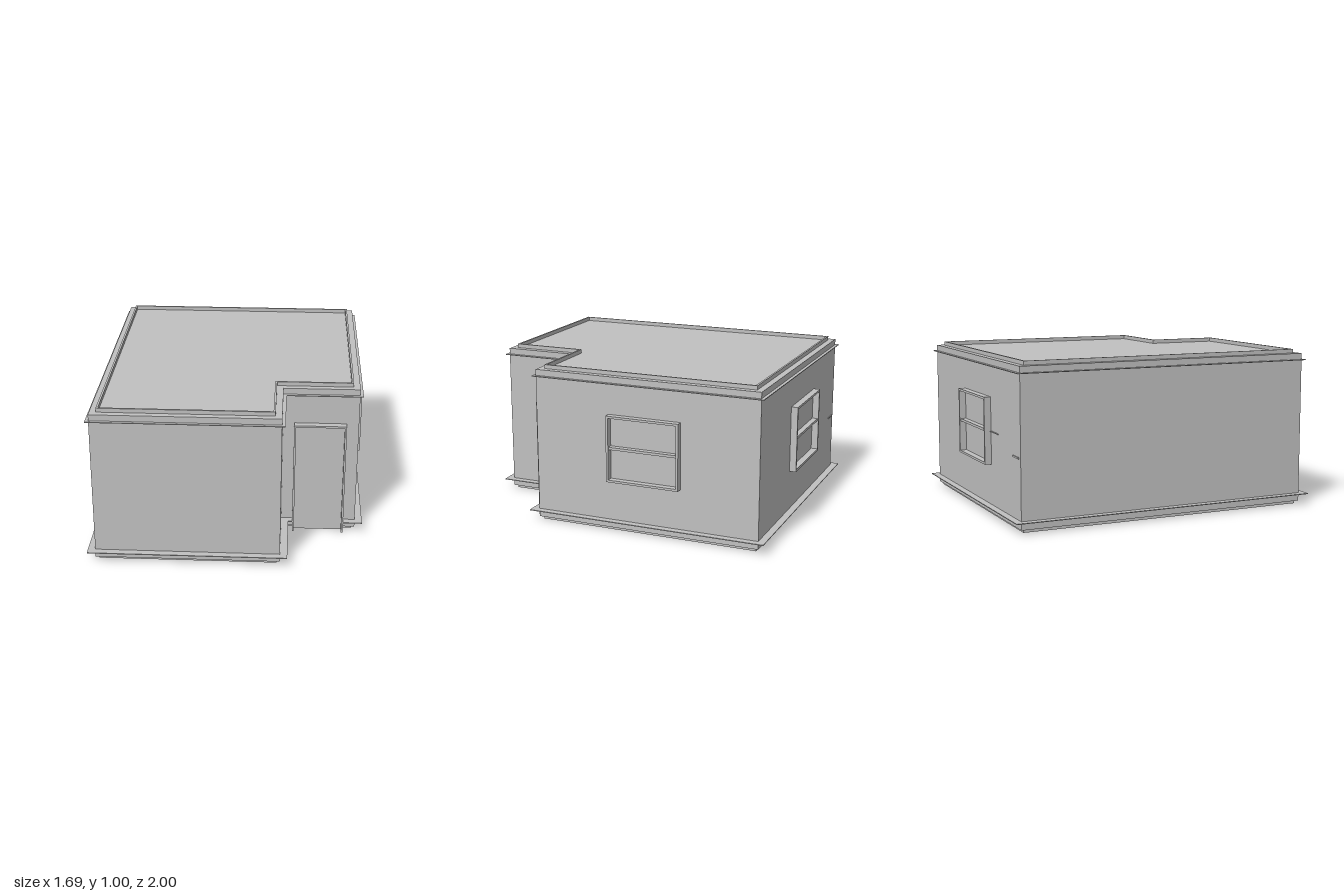
import * as THREE from 'three';

export function createModel() {
  const group = new THREE.Group();
  const grey = new THREE.MeshStandardMaterial({ color: 0xc0c0c0 });
  grey.name = 'plainGrey';

  const add = (name, geometry, parent = group) => {
    const mesh = new THREE.Mesh(geometry, grey);
    mesh.name = name;
    parent.add(mesh);
    return mesh;
  };

  // L-shaped plan grown by d, as [x, z]; optionally notched at the doorway
  const outline = (d, doorGap = false) => {
    const gap = doorGap ? [[0.4, 0.5 + d], [0.4, 0.48], [0.725, 0.48], [0.725, 0.5 + d]] : [];
    return [
      [-0.8 - d, 0.955 + d], [0.33 + d, 0.955 + d], [0.33 + d, 0.5 + d], ...gap,
      [0.8 + d, 0.5 + d], [0.8 + d, -0.955 - d], [-0.8 - d, -0.955 - d],
    ].map(([x, z]) => new THREE.Vector2(x, -z));
  };

  // Horizontal slab of the plan between two heights
  const slab = (name, points, y0, y1, hole) => {
    const shape = new THREE.Shape(points);
    if (hole) shape.holes.push(new THREE.Path(hole));
    const geo = new THREE.ExtrudeGeometry(shape, { depth: y1 - y0, bevelEnabled: false });
    geo.rotateX(-Math.PI / 2);
    geo.translate(0, y0, 0);
    return add(name, geo);
  };

  const box = (name, w, h, d, x, y, z, parent) => {
    const geo = new THREE.BoxGeometry(w, h, d);
    geo.translate(x, y, z);
    return add(name, geo, parent);
  };

  // Building body
  slab('base', outline(-0.02), 0, 0.02);
  slab('walls', outline(0), 0.02, 0.975);
  slab('lowerLedge', outline(0.045, true), 0.067, 0.072);
  slab('upperLedge', outline(0.02), 0.932, 0.937);
  slab('parapet', outline(-0.04), 0.975, 1, outline(-0.052));

  // Projecting frame standing on local z = 0 and facing +z
  const frame = (name, w, y0, y1, depth, bar, sill) => {
    const g = new THREE.Group();
    g.name = name;
    const h = y1 - y0;
    for (const s of [-1, 1]) {
      box('jamb', bar, h, depth, s * (w - bar) / 2, y0 + h / 2, depth / 2, g);
    }
    box('head', w - 2 * bar, bar, depth, 0, y1 - bar / 2, depth / 2, g);
    if (sill) box('sill', w - 2 * bar, bar, depth, 0, y0 + bar / 2, depth / 2, g);
    group.add(g);
    return g;
  };

  // Two-pane windows on the left side and the back
  const windows = [
    ['sideWindow', 0.47, [0.8, 0, -0.225], Math.PI / 2],
    ['backWindow', 0.5, [-0.045, 0, -0.955], Math.PI],
  ];
  for (const [name, w, position, turn] of windows) {
    const win = frame(name, w, 0.325, 0.742, 0.042, 0.014, true);
    box('middleRail', w - 0.028, 0.016, 0.035, 0, 0.538, 0.0175, win);
    win.position.set(...position);
    win.rotation.y = turn;
  }

  // Door in the recessed front corner
  const door = frame('door', 0.325, 0, 0.745, 0.045, 0.012, false);
  box('doorPanel', 0.301, 0.735, 0.03, 0, 0.3675, -0.01, door);
  door.position.set(0.5625, 0, 0.5);

  // Small slivers on the back wall
  box('backSliver', 0.13, 0.006, 0.008, -0.36, 0.53, -0.957);
  box('backSliver', 0.09, 0.01, 0.008, -0.73, 0.44, -0.957);

  return group;
}
